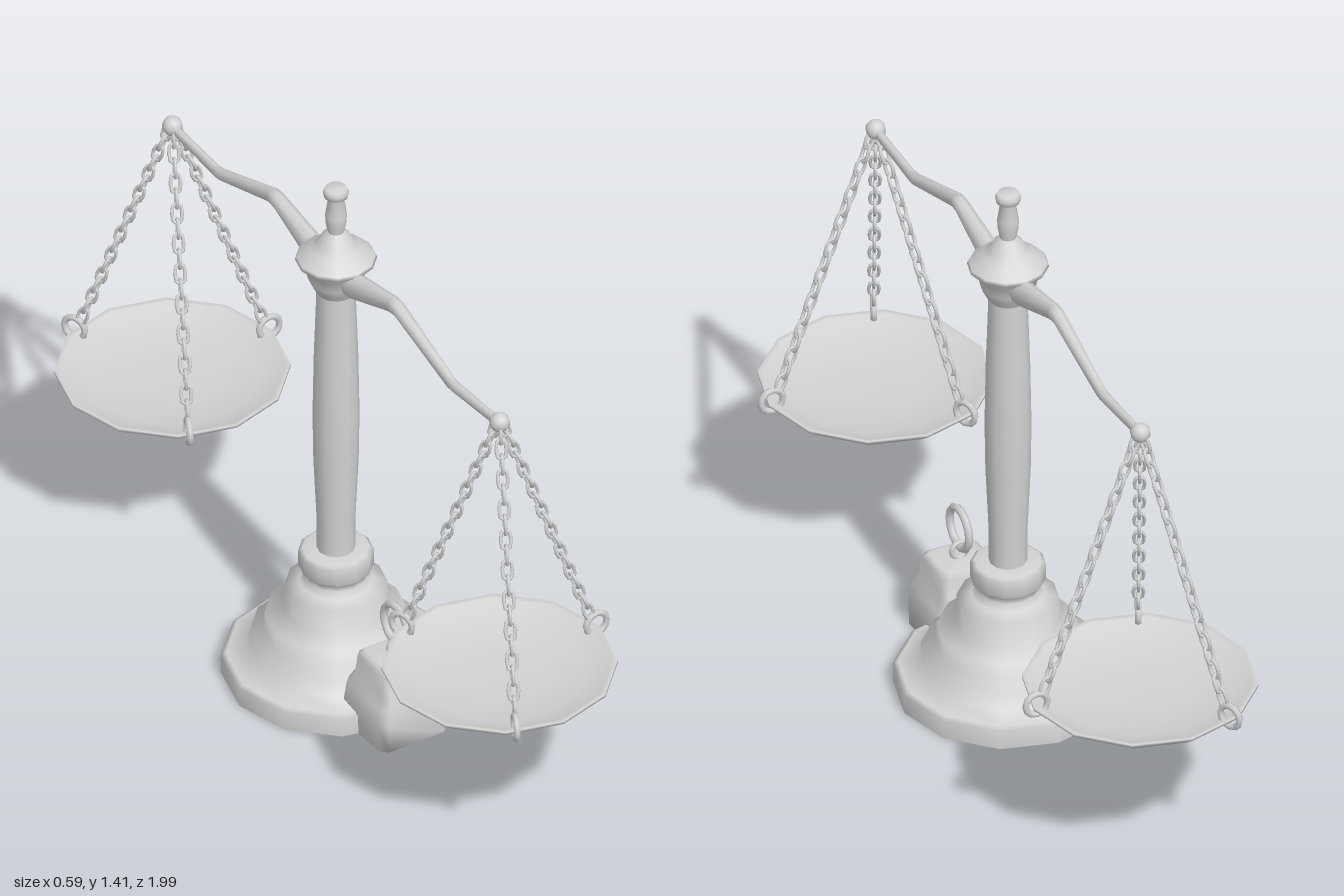
import * as THREE from 'three';
import { mergeGeometries } from 'three/addons/utils/BufferGeometryUtils.js';

const metal = new THREE.MeshStandardMaterial({ color: 0xd2d2d2, side: THREE.DoubleSide });
metal.name = 'grey metal';

function part(name, geometry) {
  const mesh = new THREE.Mesh(geometry, metal);
  mesh.name = name;
  return mesh;
}

function lathe(name, profile, sides = 12) {
  return part(name, new THREE.LatheGeometry(profile.map(p => new THREE.Vector2(...p)), sides));
}

// Smooth skin over closed rings of equal point count, with a fan cap at each end
function loft(rings) {
  const n = rings[0].length, pos = rings.flat(2), idx = [];
  for (let i = 0; i < rings.length - 1; i++) {
    for (let j = 0; j < n; j++) {
      const a = i * n + j, b = i * n + (j + 1) % n;
      idx.push(a, b, a + n, b, b + n, a + n);
    }
  }
  const last = (rings.length - 1) * n;
  for (let j = 1; j < n - 1; j++) {
    idx.push(0, j + 1, j, last, last + j, last + j + 1);
  }
  const g = new THREE.BufferGeometry();
  g.setAttribute('position', new THREE.Float32BufferAttribute(pos, 3));
  g.setIndex(idx);
  g.computeVertexNormals();
  return g;
}

// Chain of alternating oval links between two points
function chainGeometry(from, to, count) {
  const dir = to.clone().sub(from);
  const pitch = dir.length() / count;
  const turn = new THREE.Quaternion().setFromUnitVectors(new THREE.Vector3(0, 1, 0), dir.normalize());
  const links = [];
  for (let i = 0; i < count; i++) {
    const link = new THREE.TorusGeometry(0.0122, 0.0046, 6, 10);
    const p = link.attributes.position;
    // Stretch the ring into an oval by parting its two halves
    for (let k = 0; k < p.count; k++) {
      const y = p.getY(k);
      if (Math.abs(y) > 0.0001) p.setY(k, y + Math.sign(y) * 0.011);
    }
    link.rotateY(i % 2 ? Math.PI / 2 : 0);
    link.applyQuaternion(turn);
    const c = from.clone().addScaledVector(dir, (i + 0.5) * pitch);
    link.translate(c.x, c.y, c.z);
    links.push(link);
  }
  return mergeGeometries(links);
}

// One beam arm with its pan, reaching toward +z
function createArm() {
  const arm = new THREE.Group();
  // z, y, half width, half height
  const stations = [
    [0, 1.17, 0.03, 0.04], [0.09, 1.175, 0.028, 0.036], [0.25, 1.221, 0.019, 0.022],
    [0.275, 1.222, 0.018, 0.02], [0.5, 1.146, 0.013, 0.017], [0.525, 1.144, 0.012, 0.015],
    [0.715, 1.155, 0.01, 0.013],
  ];
  arm.add(part('beamArm', loft(stations.map(([z, y, w, h]) =>
    Array.from({ length: 8 }, (_, j) => {
      const t = j * Math.PI / 4;
      return [w * Math.cos(t), y + h * Math.sin(t), z];
    })))));

  const hanger = new THREE.Group();
  hanger.name = 'hangingPan';
  hanger.position.z = 0.714;
  const ball = part('beamEndBall', new THREE.SphereGeometry(0.025, 10, 8));
  ball.position.y = 1.158;
  hanger.add(ball);
  hanger.add(lathe('pan', [
    [0, 0.4], [0.215, 0.402], [0.25, 0.421], [0.282, 0.445], [0.281, 0.451],
    [0.268, 0.449], [0.205, 0.422], [0.1, 0.413], [0, 0.411],
  ]));
  arm.add(hanger);
  return arm;
}

// Three chains and rim rings; one points to +x, the others slant back to -x
function createChains(z) {
  const set = new THREE.Group();
  set.name = 'panChains';
  set.position.z = z;
  for (const degrees of [0, 115, -115]) {
    const spoke = new THREE.Group();
    spoke.name = 'chainWithRing';
    spoke.rotation.y = THREE.MathUtils.degToRad(degrees);
    spoke.add(part('chain', chainGeometry(
      new THREE.Vector3(0.008, 1.15, 0), new THREE.Vector3(0.257, 0.488, 0), 19)));
    const ring = part('rimRing', new THREE.TorusGeometry(0.029, 0.0085, 6, 12));
    ring.position.set(0.274, 0.461, 0);
    spoke.add(ring);
    set.add(spoke);
  }
  return set;
}

// Loose square weight with a lifting ring
function createWeight() {
  const weight = new THREE.Group();
  weight.name = 'weight';
  weight.position.z = 0.262;
  const levels = [[0, 0.097], [0.07, 0.099], [0.115, 0.094], [0.145, 0.078], [0.195, 0.073], [0.208, 0.06]];
  const body = loft(levels.map(([y, r]) => {
    const c = r * 0.8;
    return [[-c, r], [c, r], [r, c], [r, -c], [c, -r], [-c, -r], [-r, -c], [-r, c]]
      .map(([x, z]) => [x, y, z * 0.94]);
  }));
  weight.add(part('weightBody', body));
  const eye = part('weightEye', new THREE.TorusGeometry(0.021, 0.007, 6, 12));
  eye.position.y = 0.228;
  const ring = part('weightRing', new THREE.TorusGeometry(0.053, 0.01, 6, 14));
  ring.position.y = 0.289;
  ring.rotation.y = Math.PI / 2;
  weight.add(eye, ring);
  return weight;
}

export function createModel() {
  const model = new THREE.Group();
  model.name = 'balanceScale';
  model.position.x = -0.012;

  // Hollow stepped foot
  model.add(lathe('base', [
    [0.274, 0], [0.274, 0.05], [0.262, 0.057], [0.208, 0.065], [0.208, 0.112], [0.17, 0.125],
    [0.17, 0.172], [0.122, 0.182], [0.122, 0.255], [0.088, 0.265], [0.075, 0.28],
    [0.077, 0.295], [0.09, 0.308], [0.09, 0.35], [0.08, 0.358], [0.046, 0.36],
  ]));
  // Knob hidden inside the foot
  model.add(lathe('innerKnob', [
    [0, 0.01], [0.05, 0.012], [0.067, 0.04], [0.05, 0.095], [0.022, 0.11], [0.02, 0.36],
  ]));
  model.add(lathe('column', [
    [0.046, 0.355], [0.046, 0.44], [0.054, 0.62], [0.056, 0.75], [0.053, 0.92], [0.047, 1.1], [0.047, 1.13],
  ]));
  model.add(lathe('collar', [
    [0.047, 1.11], [0.058, 1.13], [0.068, 1.15], [0.07, 1.175], [0.098, 1.205], [0.094, 1.213],
    [0.062, 1.238], [0.045, 1.25], [0.035, 1.272], [0.019, 1.285],
  ]));
  model.add(lathe('finial', [
    [0.019, 1.28], [0.025, 1.31], [0.026, 1.335], [0.019, 1.38], [0.029, 1.387],
    [0.031, 1.4], [0.026, 1.411], [0, 1.412],
  ]));

  for (const side of [1, -1]) {
    const arm = createArm();
    arm.name = side > 0 ? 'frontArm' : 'backArm';
    if (side < 0) arm.rotation.y = Math.PI;
    model.add(arm, createChains(side * 0.714));
  }
  model.add(createWeight());

  const root = new THREE.Group();
  root.name = 'scales';
  root.add(model);
  return root;
}
